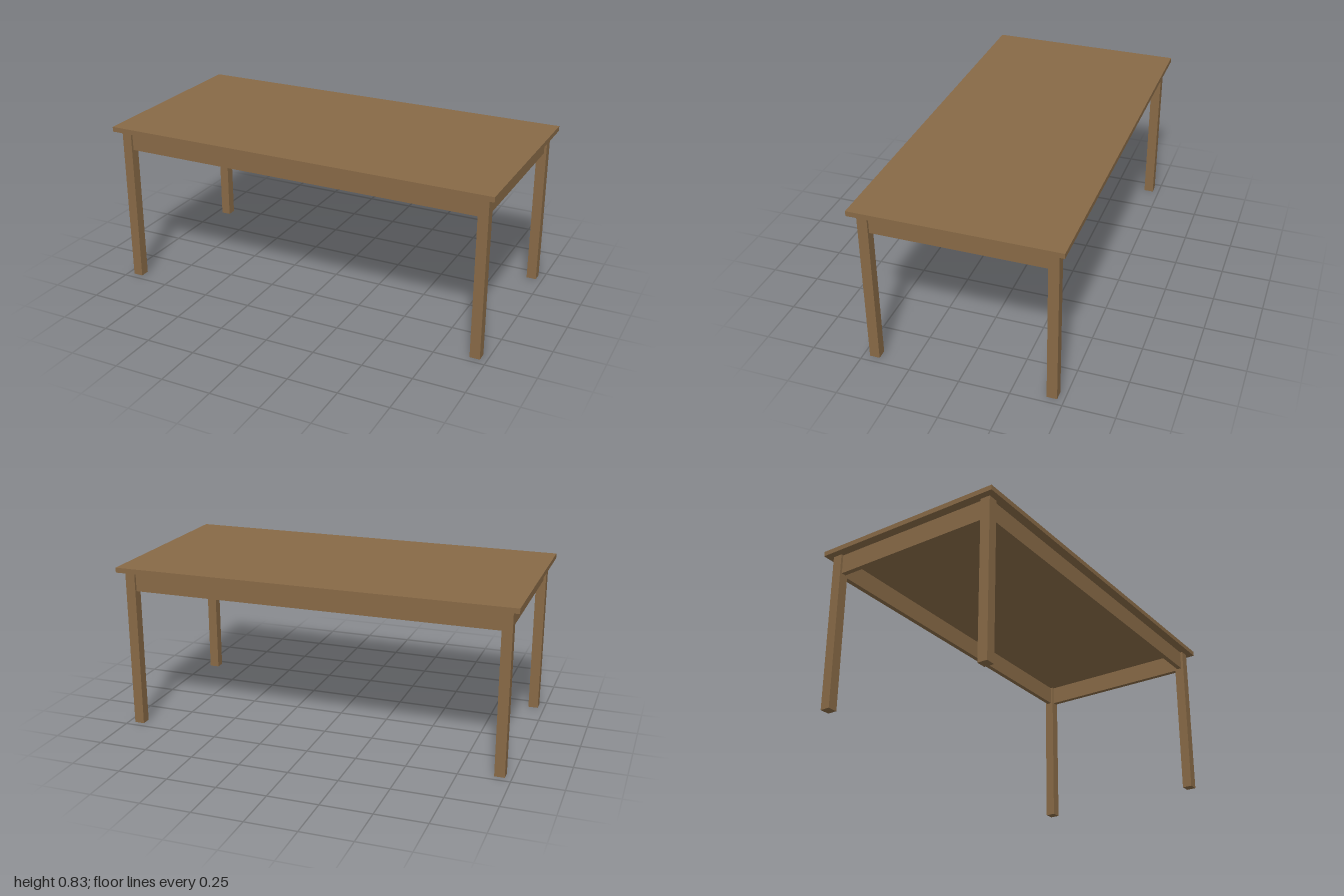
import * as THREE from 'three';

export function createModel() {
  const wood = new THREE.MeshStandardMaterial({ color: 0x876946 });
  wood.name = 'brown wood';
  const table = new THREE.Group();
  table.name = 'table';

  const addBox = (name, size, position) => {
    const mesh = new THREE.Mesh(new THREE.BoxGeometry(...size), wood);
    mesh.name = name;
    mesh.position.set(...position);
    table.add(mesh);
  };

  const topY = 0.833, topThickness = 0.025;
  const legHeight = topY - topThickness;
  const leg = 0.05, legX = 0.942, legZ = 0.442;
  const apronHeight = 0.1, apronThickness = 0.025;
  const apronY = legHeight - apronHeight / 2;

  // Tabletop
  addBox('tabletop', [2, topThickness, 1], [0, topY - topThickness / 2, 0]);

  // Square legs at the four corners
  for (const x of [-1, 1]) {
    for (const z of [-1, 1]) {
      const name = (z > 0 ? 'front' : 'back') + (x > 0 ? 'Left' : 'Right') + 'Leg';
      addBox(name, [leg, legHeight, leg], [x * legX, legHeight / 2, z * legZ]);
    }
  }

  // Thin aprons running between the legs
  for (const s of [-1, 1]) {
    addBox(s > 0 ? 'frontApron' : 'backApron',
      [2 * legX - leg, apronHeight, apronThickness], [0, apronY, s * legZ]);
    addBox(s > 0 ? 'leftApron' : 'rightApron',
      [apronThickness, apronHeight, 2 * legZ - leg], [s * legX, apronY, 0]);
  }
  return table;
}
